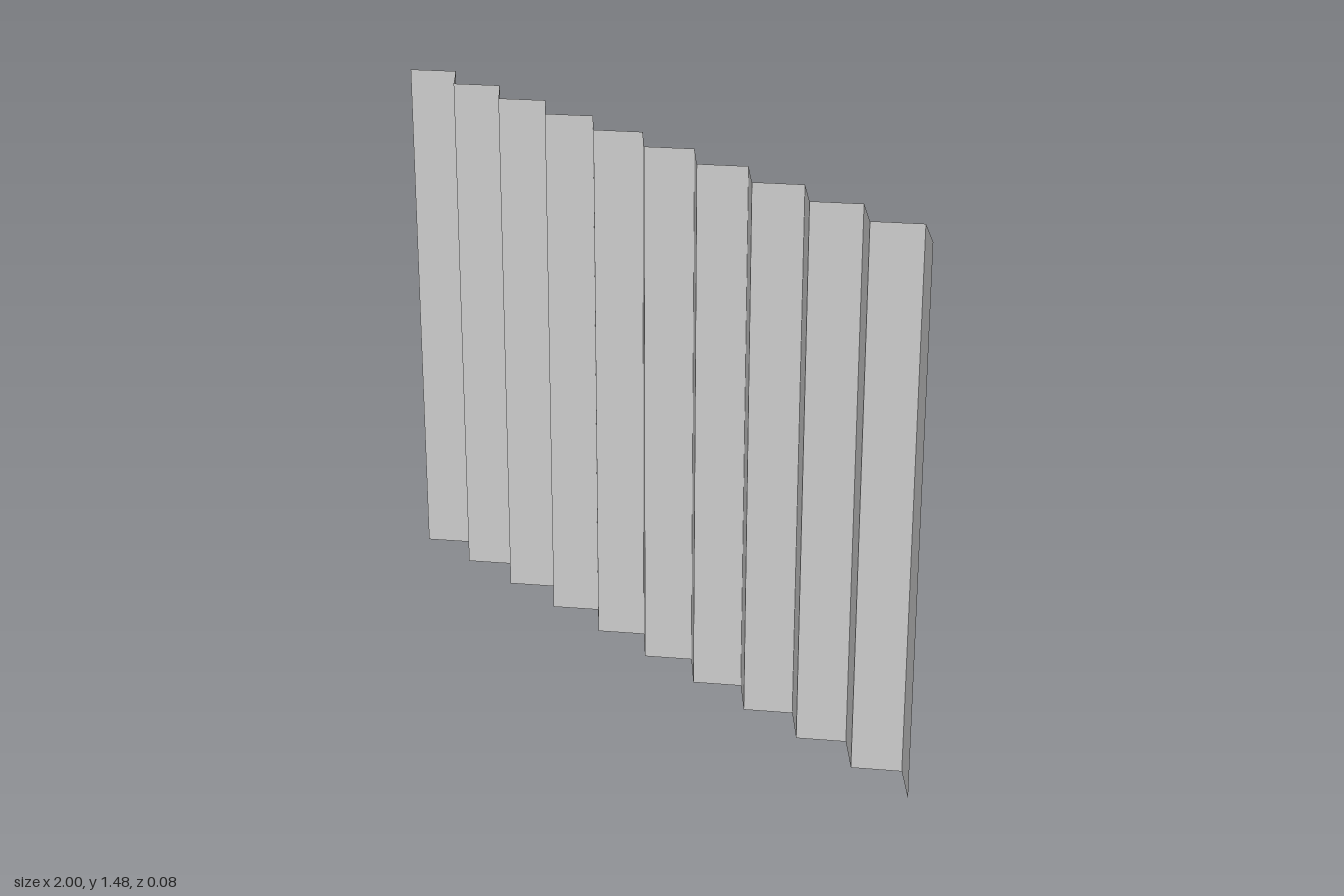
import * as THREE from 'three';

const WIDTH = 2, HEIGHT = 1.48, PANELS = 20, DEPTH = 0.042;

export function createModel() {
  const group = new THREE.Group();
  group.name = 'foldingScreen';

  // Flat sheet with one column per panel, standing on the floor
  const sheet = new THREE.PlaneGeometry(WIDTH, HEIGHT, PANELS, 1);
  sheet.translate(0, HEIGHT / 2, 0);

  // Pleat it: fold lines alternate forward and back, starting forward
  const pos = sheet.attributes.position;
  for (let i = 0; i < pos.count; i++) {
    const fold = i % (PANELS + 1);
    pos.setZ(i, fold % 2 === 0 ? DEPTH : -DEPTH);
  }

  // Separate the panels so every fold stays crisp
  const pleats = sheet.toNonIndexed();
  pleats.computeVertexNormals();

  const mesh = new THREE.Mesh(pleats, new THREE.MeshStandardMaterial({
    color: 0xcccccc, flatShading: true, side: THREE.DoubleSide,
  }));
  mesh.name = 'pleatedSheet';
  group.add(mesh);
  return group;
}
